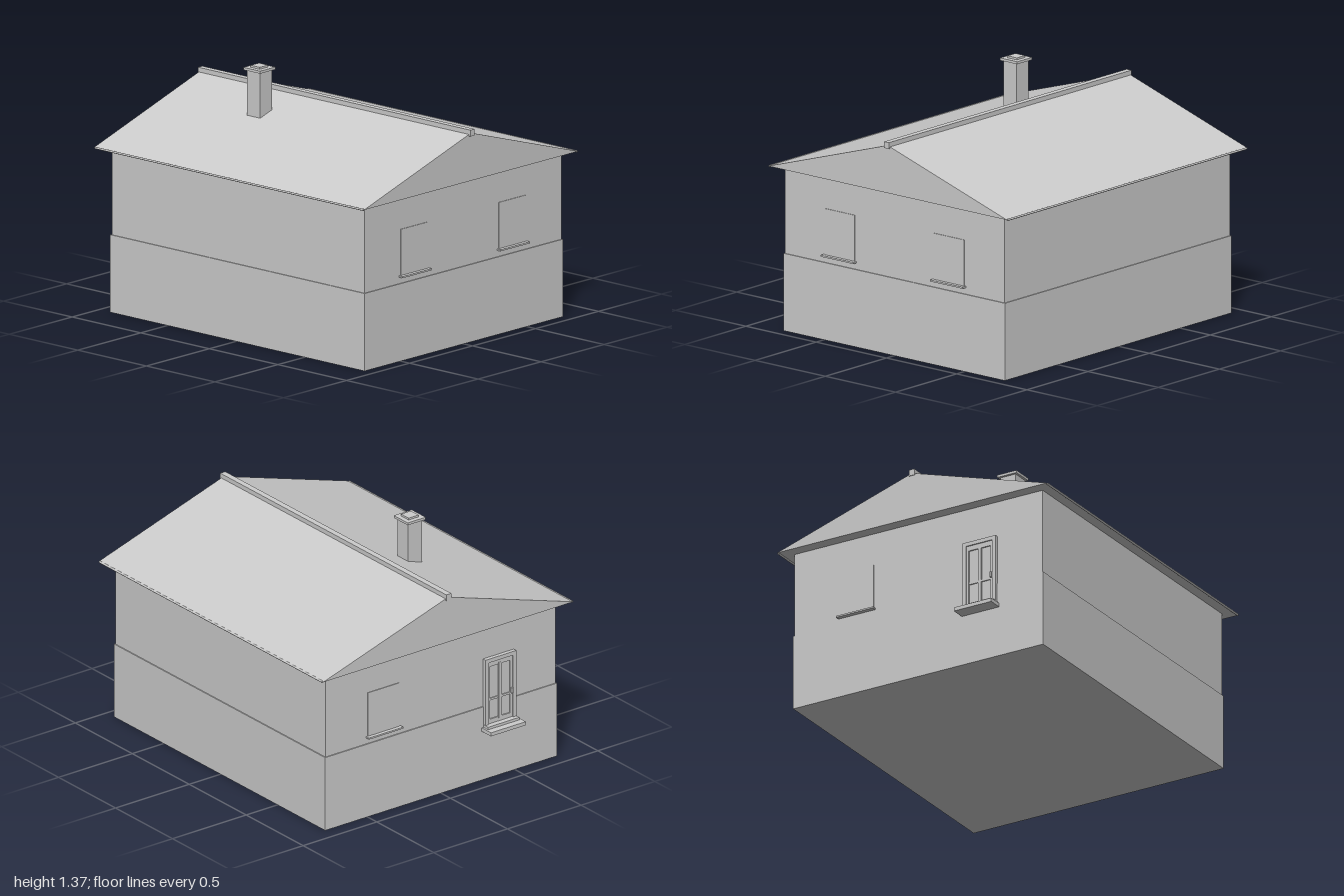
import * as THREE from 'three';

export function createModel() {
  const house = new THREE.Group();
  house.name = 'house';
  const plaster = new THREE.MeshStandardMaterial({ color: 0xcccccc });
  plaster.name = 'plain grey';

  const add = (parent, name, geometry) => {
    const mesh = new THREE.Mesh(geometry, plaster);
    mesh.name = name;
    parent.add(mesh);
    return mesh;
  };
  // Box given by its limits along each axis
  const box = (parent, name, x0, x1, y0, y1, z0, z1) => {
    const mesh = add(parent, name, new THREE.BoxGeometry(x1 - x0, y1 - y0, z1 - z0));
    mesh.position.set((x0 + x1) / 2, (y0 + y1) / 2, (z0 + z1) / 2);
    return mesh;
  };

  // Walls: a slightly wider base storey below the upper walls
  box(house, 'baseWall', -0.787, 0.787, 0, 0.43, -0.918, 0.936);
  box(house, 'upperWall', -0.781, 0.781, 0.43, 0.915, -0.912, 0.93);

  // Gabled roof prism, flat underneath
  const gable = new THREE.Shape([
    new THREE.Vector2(-0.85, 0.915),
    new THREE.Vector2(0.85, 0.915),
    new THREE.Vector2(0, 1.18),
  ]);
  const roof = add(house, 'roof', new THREE.ExtrudeGeometry(gable, { depth: 1.97, bevelEnabled: false }));
  roof.position.z = -0.98;
  box(house, 'ridgeCap', -0.017, 0.017, 1.165, 1.2, -0.985, 1);

  // Rounded eave edges
  for (const side of [-1, 1]) {
    const eave = add(house, 'eaveEdge', new THREE.CylinderGeometry(0.006, 0.006, 1.955, 10));
    eave.rotation.x = Math.PI / 2;
    eave.position.set(side * 0.847, 0.914, 0.006);
  }

  // Chimney with cap and flue
  const chimney = new THREE.Group();
  chimney.name = 'chimney';
  house.add(chimney);
  box(chimney, 'chimneyStack', -0.285, -0.191, 1.05, 1.343, -0.382, -0.286);
  box(chimney, 'chimneyCap', -0.299, -0.177, 1.343, 1.357, -0.396, -0.274);
  box(chimney, 'chimneyFlue', -0.271, -0.204, 1.357, 1.368, -0.369, -0.302);

  // Plain windows: a thin panel over a narrow sill, facing outwards
  const plainWindow = (x, z, facing) => {
    const group = new THREE.Group();
    group.name = 'plainWindow';
    group.position.set(x, 0, z);
    if (facing < 0) group.rotation.y = Math.PI;
    house.add(group);
    box(group, 'windowPanel', -0.106, 0.106, 0.47, 0.73, -0.004, 0.004);
    box(group, 'windowSill', -0.117, 0.117, 0.465, 0.474, -0.004, 0.026);
  };
  plainWindow(-0.39, 0.93, 1);
  plainWindow(0.388, 0.93, 1);
  plainWindow(0.388, -0.912, -1);

  // Framed back window with a deep sill; its local +z points outwards
  const win = new THREE.Group();
  win.name = 'framedWindow';
  win.position.set(-0.393, 0, -0.915);
  win.rotation.y = Math.PI;
  house.add(win);
  box(win, 'deepSill', -0.118, 0.118, 0.288, 0.309, -0.004, 0.085);
  box(win, 'sillStep', -0.106, 0.106, 0.309, 0.324, -0.004, 0.045);
  box(win, 'windowPane', -0.09, 0.09, 0.32, 0.7, -0.004, 0.006);
  for (const side of [-1, 1]) {
    const x = side * 0.093;
    box(win, 'frameSide', x - 0.011, x + 0.011, 0.32, 0.71, -0.004, 0.02);
    const s = side * 0.075;
    box(win, 'sashSide', s - 0.007, s + 0.007, 0.335, 0.688, -0.004, 0.013);
  }
  box(win, 'frameTop', -0.104, 0.104, 0.688, 0.71, -0.004, 0.02);
  box(win, 'sashTop', -0.082, 0.082, 0.66, 0.688, -0.004, 0.013);
  box(win, 'sashBottom', -0.082, 0.082, 0.324, 0.35, -0.004, 0.013);
  box(win, 'mullion', -0.01, 0.01, 0.34, 0.67, -0.004, 0.014);
  box(win, 'crossbar', -0.075, 0.075, 0.46, 0.472, -0.004, 0.012);
  box(win, 'handle', 0.07, 0.08, 0.468, 0.498, 0.01, 0.026);

  return house;
}
